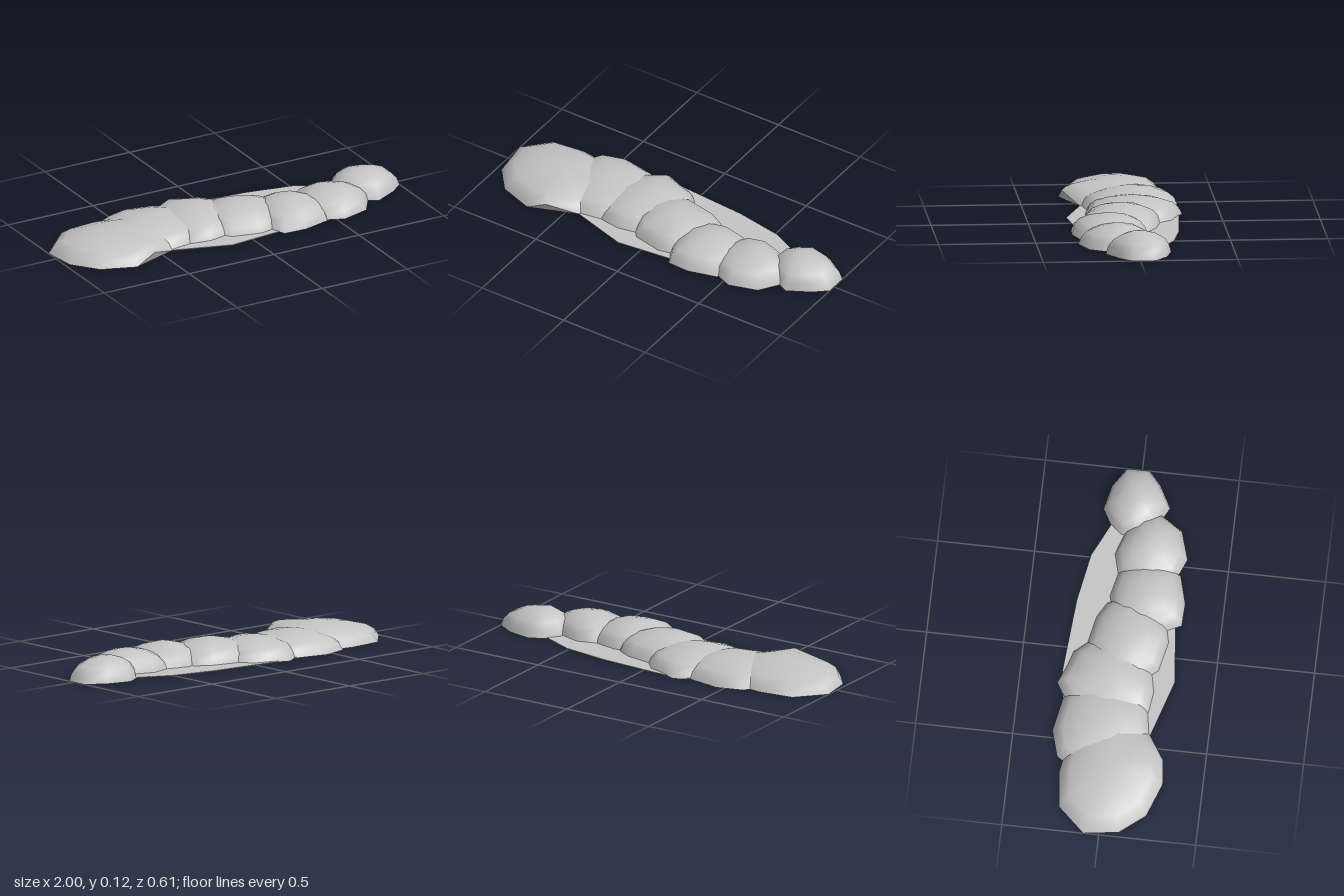
import * as THREE from 'three';

const stone = new THREE.MeshStandardMaterial({ color: 0xc4c4c4 });
stone.name = 'grey stone';

// Dome section, from rim to crown: [share of radius, share of height]
const PROFILE = [[1, 0], [0.93, 0.35], [0.79, 0.63], [0.52, 0.86], [0.25, 0.97]];

// A flattened boulder. Outline points are [x, z, optional lift off the ground].
function boulder(name, [cx, cz], height, outline) {
  const angle = (p) => Math.atan2(p[1] - cz, p[0] - cx);
  const rim = [...outline].sort((a, b) => angle(a) - angle(b));
  const n = rim.length;
  const pos = [], index = [];

  // Smooth dome
  for (const [s, t] of PROFILE) {
    for (const [x, z, lift = 0] of rim) {
      pos.push(cx + (x - cx) * s, lift + (height - lift) * t, cz + (z - cz) * s);
    }
  }
  const crown = pos.length / 3;
  pos.push(cx, height, cz);
  for (let k = 0; k < PROFILE.length; k++) {
    for (let i = 0; i < n; i++) {
      const j = (i + 1) % n, a = k * n + i, b = k * n + j;
      if (k === PROFILE.length - 1) index.push(a, crown, b);
      else index.push(a, a + n, b, b, a + n, b + n);
    }
  }

  // Flat underside with its own vertices
  const centre = pos.length / 3;
  pos.push(cx, 0, cz);
  const ground = rim.filter((p) => !p[2]);
  for (const [x, z] of ground) pos.push(x, 0, z);
  ground.forEach((p, i) => index.push(centre, centre + 1 + i, centre + 1 + (i + 1) % ground.length));

  // Undercut facet below each lifted point
  rim.forEach((p, i) => {
    if (!p[2]) return;
    const start = pos.length / 3;
    for (const [x, z, lift = 0] of [rim[(i + n - 1) % n], p, rim[(i + 1) % n]]) pos.push(x, lift, z);
    index.push(start, start + 1, start + 2);
  });

  const geometry = new THREE.BufferGeometry();
  geometry.setAttribute('position', new THREE.Float32BufferAttribute(pos, 3));
  geometry.setIndex(index);
  geometry.computeVertexNormals();
  const mesh = new THREE.Mesh(geometry, stone);
  mesh.name = name;
  return mesh;
}

export function createModel() {
  const group = new THREE.Group();
  group.name = 'rockRow';

  // Row of overlapping boulders, from right (-x) to left (+x)
  group.add(
    boulder('largeEndBoulder', [-0.65, 0.02], 0.105, [
      [-1, -0.08], [-0.87, -0.22], [-0.68, -0.24], [-0.5, -0.21], [-0.34, -0.1], [-0.3, 0.06],
      [-0.43, 0.2], [-0.58, 0.285, 0.055], [-0.69, 0.295], [-0.87, 0.23], [-0.975, 0.1]]),
    boulder('secondBoulder', [-0.42, -0.06], 0.102, [
      [-0.65, -0.18], [-0.6, -0.26], [-0.46, -0.3], [-0.28, -0.265], [-0.15, -0.16],
      [-0.15, 0.04], [-0.27, 0.17], [-0.45, 0.2], [-0.64, 0.1], [-0.7, -0.04]]),
    boulder('thirdBoulder', [-0.17, -0.06], 0.102, [
      [-0.32, -0.23], [-0.2, -0.305], [-0.1, -0.265], [-0.02, -0.24], [0.05, -0.16],
      [0.09, 0.0], [0.0, 0.14], [-0.12, 0.18], [-0.2, 0.195], [-0.31, 0.18], [-0.43, 0.0]]),
    boulder('middleBoulder', [0.05, 0.03], 0.109, [
      [0.01, -0.18], [0.18, -0.145], [0.26, -0.1], [0.33, 0.02], [0.27, 0.15], [0.17, 0.22],
      [0.08, 0.24], [-0.08, 0.205], [-0.14, 0.13], [-0.18, 0.0], [-0.12, -0.12]]),
    boulder('fifthBoulder', [0.3, 0.1], 0.109, [
      [0.19, -0.06], [0.3, -0.09], [0.43, -0.06], [0.51, 0.05], [0.51, 0.16], [0.45, 0.26],
      [0.3, 0.3], [0.18, 0.295], [0.13, 0.2], [0.11, 0.06]]),
    boulder('sixthBoulder', [0.57, 0.08], 0.109, [
      [0.42, -0.06], [0.53, -0.09], [0.65, -0.05], [0.75, 0.03], [0.765, 0.13], [0.69, 0.24],
      [0.54, 0.285], [0.43, 0.24], [0.36, 0.14], [0.36, 0.04]]),
    boulder('smallEndBoulder', [0.79, -0.01], 0.116, [
      [0.64, -0.07], [0.69, -0.13], [0.77, -0.175], [0.9, -0.145], [1, -0.08], [1, 0.04],
      [0.93, 0.1], [0.81, 0.165], [0.7, 0.11], [0.63, 0.02]]));

  // Thin ground slab under the row
  const slab = new THREE.Shape([
    [-0.6, 0.15], [-0.44, 0.2], [-0.13, 0.295], [0.16, 0.265], [0.5, 0.2], [0.75, 0.05],
    [0.7, -0.12], [0.51, -0.21], [0.26, -0.255], [-0.13, -0.285], [-0.45, -0.24], [-0.6, -0.1],
  ].map(([x, z]) => new THREE.Vector2(x, z)));
  const slabGeometry = new THREE.ExtrudeGeometry(slab, { depth: 0.004, bevelEnabled: false });
  slabGeometry.rotateX(Math.PI / 2).translate(0, 0.004, 0);
  const base = new THREE.Mesh(slabGeometry, stone);
  base.name = 'groundSlab';
  group.add(base);

  return group;
}
